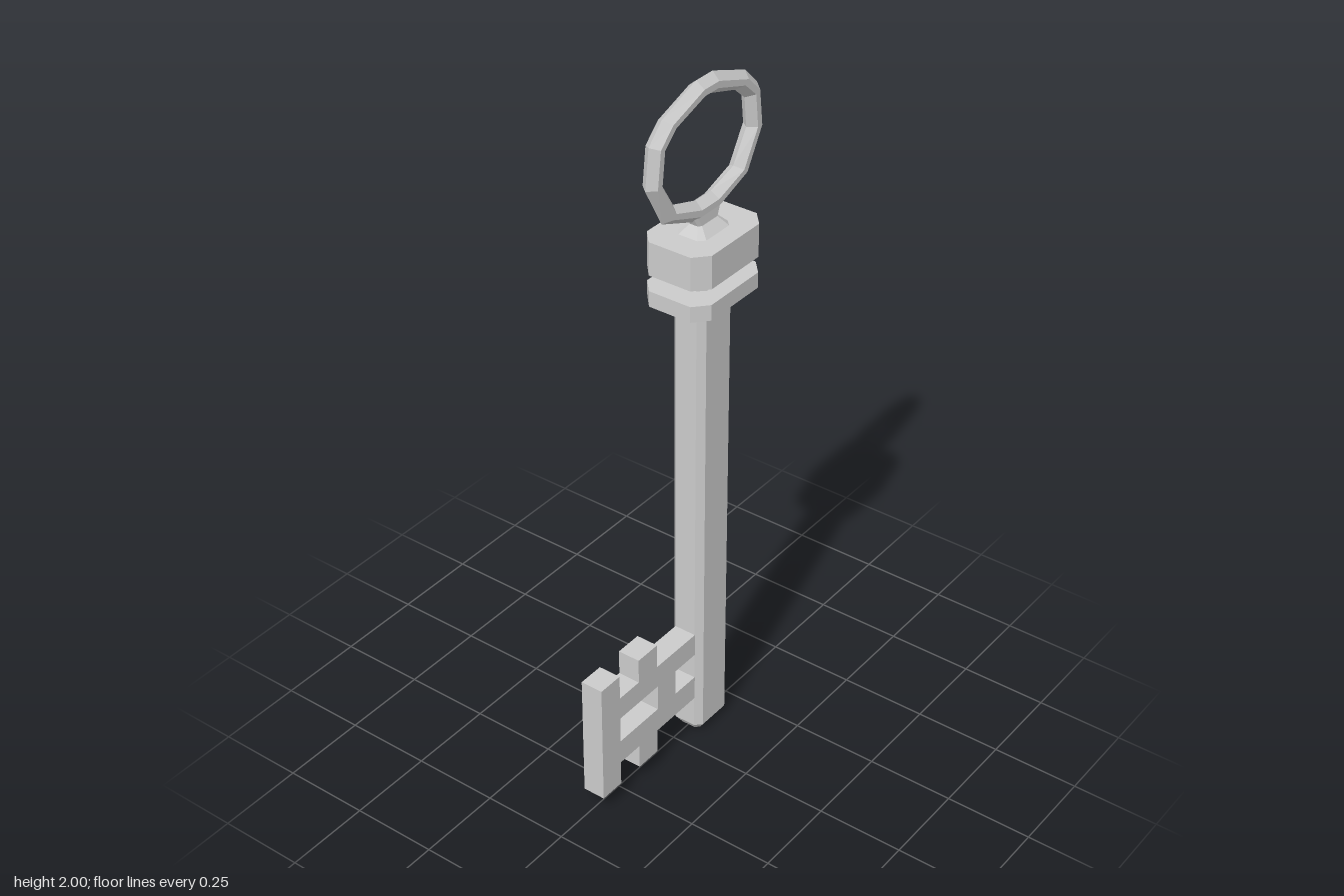
import * as THREE from 'three';

const CZ = -0.122; // z of the shaft axis
const material = new THREE.MeshStandardMaterial({ color: 0xcccccc, flatShading: true, side: THREE.DoubleSide });

// Joins rings of points into a surface; optionally closes it on itself or caps both ends.
function loft(rings, { loop = false, caps = false } = {}) {
  const n = rings[0].length, index = [];
  const last = loop ? rings.length : rings.length - 1;
  for (let r = 0; r < last; r++) {
    const a = r * n, b = ((r + 1) % rings.length) * n;
    for (let i = 0; i < n; i++) {
      const j = (i + 1) % n;
      index.push(a + i, b + i, b + j, a + i, b + j, a + j);
    }
  }
  if (caps) {
    const t = (rings.length - 1) * n;
    for (let i = 1; i < n - 1; i++) index.push(0, i, i + 1, t, t + i + 1, t + i);
  }
  const geometry = new THREE.BufferGeometry();
  geometry.setAttribute('position', new THREE.Float32BufferAttribute(rings.flat(2), 3));
  geometry.setIndex(index);
  const flat = geometry.toNonIndexed();
  flat.computeVertexNormals();
  return flat;
}

// Rectangle with cut corners at height y, centred on the shaft axis.
function section(y, hx, hz, cx, cz = cx) {
  return [
    [hx, hz - cz], [hx - cx, hz], [-hx + cx, hz], [-hx, hz - cz],
    [-hx, -hz + cz], [-hx + cx, -hz], [hx - cx, -hz], [hx, -hz + cz],
  ].map(([x, z]) => [x, y, z + CZ]).reverse();
}

export function createModel() {
  const group = new THREE.Group();
  const add = (name, geometry) => {
    const mesh = new THREE.Mesh(geometry, material);
    mesh.name = name;
    group.add(mesh);
  };

  // Shaft with a bevelled foot
  add('shaft', loft([
    section(0, 0.033, 0.052, 0.012),
    section(0.025, 0.05, 0.069, 0.018),
    section(1.55, 0.05, 0.069, 0.018),
  ], { caps: true }));

  // Two collars
  for (const [name, y0, y1] of [['lowerCollar', 1.4, 1.445], ['upperCollar', 1.49, 1.585]]) {
    add(name, loft([y0, y1].map((y) => section(y, 0.1, 0.139, 0.036, 0.04)), { caps: true }));
  }

  // Flared neck under the handle
  add('neck', loft([
    section(1.58, 0.05, 0.069, 0.018),
    section(1.61, 0.02, 0.04, 0.008),
    section(1.64, 0.018, 0.055, 0.008),
  ], { caps: true }));

  // Handle ring: half outline mirrored, with a six-sided cross-section
  const half = [[0.033, 2], [0.168, 1.95], [0.22, 1.898], [0.234, 1.787], [0.17, 1.67], [0.045, 1.62]];
  const outline = [...half, ...half.map(([z, y]) => [-z, y]).reverse()];
  const profile = [[0, 0], [0.023, 0.02], [0.023, 0.038], [0, 0.057], [-0.023, 0.038], [-0.023, 0.02]];
  add('handleRing', loft(outline.map(([z, y]) => {
    const dy = y - 1.8, r = Math.hypot(z, dy);
    return profile.map(([x, inset]) => {
      const s = 1 - inset / r;
      return [x, 1.8 + dy * s, CZ + z * s];
    });
  }).reverse(), { loop: true }));

  // Key bit: two bars, an end post, a pair of teeth and two windows
  const rect = (Type, z0, z1, y0, y1) => {
    const p = new Type();
    p.moveTo(z0, y0).lineTo(z1, y0).lineTo(z1, y1).lineTo(z0, y1).closePath();
    return p;
  };
  const bit = new THREE.Shape([
    [-0.07, 0.125], [0.117, 0.125], [0.117, 0.05], [0.198, 0.05], [0.198, 0.125], [0.28, 0.125],
    [0.28, 0.05], [0.357, 0.05], [0.357, 0.425], [0.28, 0.425], [0.28, 0.35], [0.198, 0.35],
    [0.198, 0.425], [0.117, 0.425], [0.117, 0.35], [-0.07, 0.35],
  ].map(([z, y]) => new THREE.Vector2(z, y)));
  bit.holes.push(rect(THREE.Path, 0.115, 0.28, 0.2, 0.28), rect(THREE.Path, -0.055, 0.035, 0.2, 0.28));
  const bitGeometry = new THREE.ExtrudeGeometry(bit, { depth: 0.066, bevelEnabled: false });
  bitGeometry.translate(0, 0, -0.033).rotateY(-Math.PI / 2);
  add('keyBit', bitGeometry);

  return group;
}
